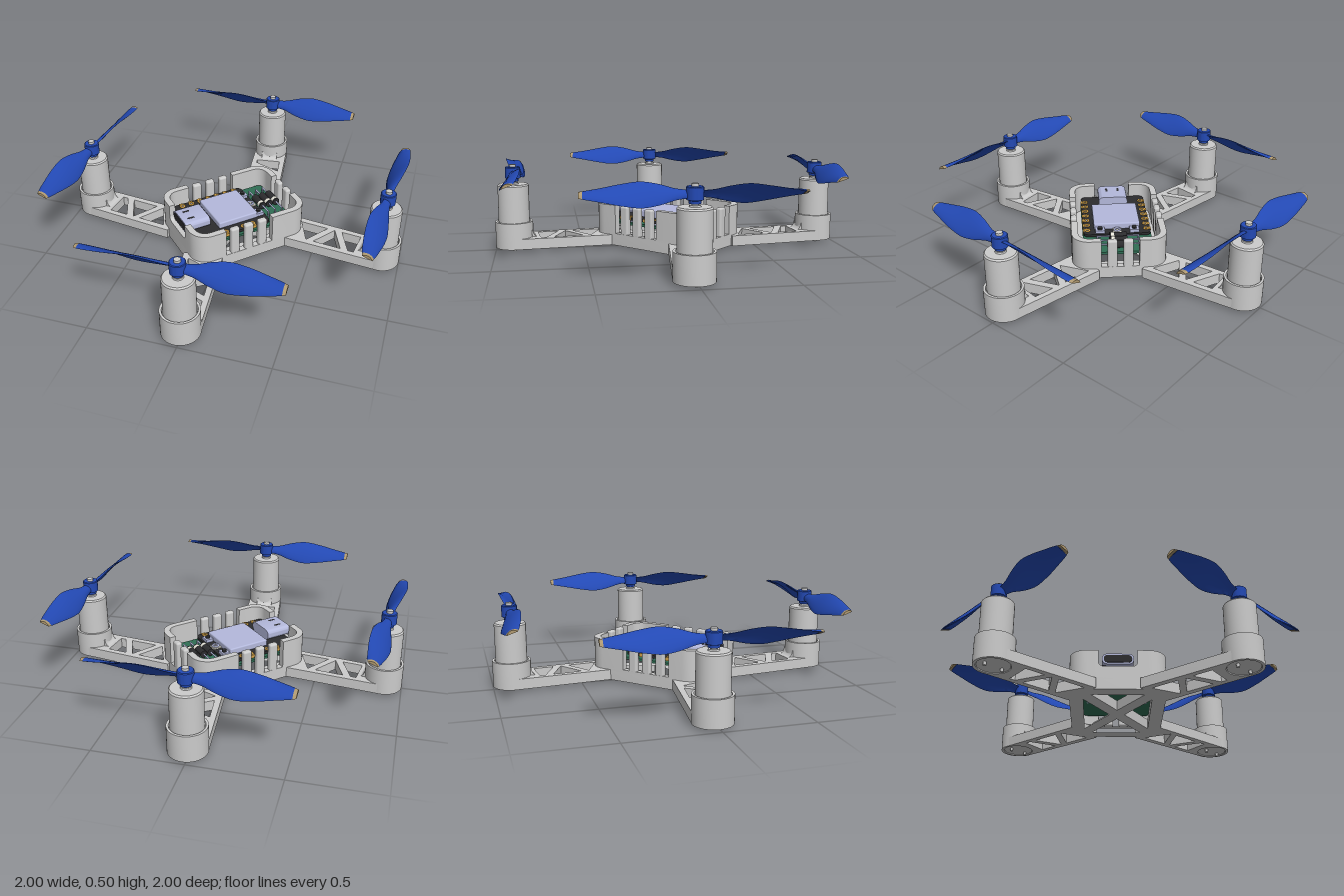
import * as THREE from 'three';
import { toCreasedNormals } from 'three/addons/utils/BufferGeometryUtils.js';
import { RoundedBoxGeometry } from 'three/addons/geometries/RoundedBoxGeometry.js';

const mat = (color) => new THREE.MeshStandardMaterial({ color });
const GREY = mat(0xcccccc), BLUE = mat(0x2349b4), TAN = mat(0xb09a72), GREEN = mat(0x2f6e54);
const BLACK = mat(0x2c2c2e), GOLD = mat(0xd8a648), METAL = mat(0xb4b9dc), WHITE = mat(0xe8e6da);
const V2 = (x, y) => new THREE.Vector2(x, y);

function add(parent, name, geo, material = GREY, x = 0, y = 0, z = 0) {
  const m = new THREE.Mesh(geo, material);
  m.name = name;
  m.position.set(x, y, z);
  parent.add(m);
  return m;
}
const box = (p, name, material, w, h, d, x, y, z) =>
  add(p, name, new THREE.BoxGeometry(w, h, d), material, x, y, z);
const cyl = (p, name, material, r, h, x, y, z) =>
  add(p, name, new THREE.CylinderGeometry(r, r, h, 20), material, x, y, z);
const lathe = (pts) =>
  toCreasedNormals(new THREE.LatheGeometry(pts.map(([x, y]) => V2(x, y)), 48), 0.5);

// Horizontal slab: shape x, y becomes model x, z between two heights
function slab(shape, y0, y1) {
  const g = new THREE.ExtrudeGeometry(shape, { depth: y1 - y0, bevelEnabled: false, curveSegments: 20 });
  g.rotateX(Math.PI / 2).translate(0, y1, 0);
  return toCreasedNormals(g, 0.5);
}
// Upright shape extruded along x: shape x becomes -z
function alongX(shape, x0, x1) {
  const g = new THREE.ExtrudeGeometry(shape, { depth: x1 - x0, bevelEnabled: false });
  g.rotateY(Math.PI / 2).translate(x0, 0, 0);
  return toCreasedNormals(g, 0.5);
}

// Quarter corner of a rounded rectangle, from the +y side round to the +x side
function cornerArc(a, b, r) {
  return Array.from({ length: 9 }, (_, i) => {
    const t = Math.PI / 2 * (1 - i / 8);
    return V2(a - r + r * Math.cos(t), b - r + r * Math.sin(t));
  });
}
function roundedRect(a, b, r) {
  const q = cornerArc(a, b, r), back = [...q].reverse();
  return [...q, ...back.map((p) => V2(p.x, -p.y)), ...q.map((p) => V2(-p.x, -p.y)), ...back.map((p) => V2(-p.x, p.y))];
}

const A = 0.362, B = 0.268, R = 0.1, T = 0.037; // case half sizes, corner radius, wall

function makeCase() {
  const g = new THREE.Group();
  g.name = 'electronicsCase';

  // Floor with an X brace
  const floor = new THREE.Shape(roundedRect(A, B, R));
  const hu = 0.285, hv = 0.19, k = hv / hu, eu = 0.066, ev = eu * k;
  for (const s of [1, -1]) {
    floor.holes.push(new THREE.Path([V2(s * eu, 0), V2(s * hu, (hu - eu) * k), V2(s * hu, -(hu - eu) * k)]));
    floor.holes.push(new THREE.Path([V2(0, s * ev), V2((hv - ev) / k, s * hv), V2(-(hv - ev) / k, s * hv)]));
  }
  add(g, 'caseFloor', slab(floor, 0.015, 0.075));

  // Continuous lower wall, then corners and posts with slots between them
  const ring = new THREE.Shape(roundedRect(A, B, R));
  ring.holes.push(new THREE.Path(roundedRect(A - T, B - T, R - T)));
  add(g, 'lowerWall', slab(ring, 0.07, 0.085));
  for (const su of [1, -1]) for (const sv of [1, -1]) {
    const u = su > 0 ? 0.119 : 0.179, v = 0.107;
    const pts = [V2(u, B), ...cornerArc(A, B, R), V2(A, v), V2(A - T, v),
      ...cornerArc(A - T, B - T, R - T).reverse(), V2(u, B - T)];
    add(g, 'cornerWall', slab(new THREE.Shape(pts.map((p) => V2(p.x * su, p.y * sv))), 0.08, 0.25));
  }
  for (const s of [1, -1]) {
    for (const u of [-0.118, -0.03, 0.058])
      add(g, 'sidePost', new RoundedBoxGeometry(0.054, 0.175, T, 3, 0.012), GREY, u, 0.1625, s * (B - T / 2));
    add(g, 'endPost', new RoundedBoxGeometry(T, 0.175, 0.056, 3, 0.012), GREY, A - T / 2, 0.1625, s * 0.045);
  }

  // Sill under the port with rounded lower corners
  const sill = new THREE.Shape();
  sill.moveTo(-0.108, 0.08);
  sill.lineTo(0.108, 0.08);
  sill.lineTo(0.108, 0.185);
  sill.quadraticCurveTo(0.106, 0.152, 0.075, 0.152);
  sill.lineTo(-0.075, 0.152);
  sill.quadraticCurveTo(-0.106, 0.152, -0.108, 0.185);
  add(g, 'portSill', alongX(sill, -A, -A + T));
  return g;
}

function makeElectronics() {
  const g = new THREE.Group();
  g.name = 'electronics';
  add(g, 'mainBoard', slab(new THREE.Shape(roundedRect(0.302, 0.2, 0.03)), 0.13, 0.145), GREEN);
  add(g, 'controllerBoard', slab(new THREE.Shape(roundedRect(0.235, 0.195, 0.03)), 0.158, 0.174), BLACK).position.x = -0.085;
  add(g, 'shieldCan', new RoundedBoxGeometry(0.25, 0.04, 0.27, 2, 0.008), METAL, -0.03, 0.193, 0);

  // Port shell with a dark mouth and spring slots
  add(g, 'portShell', alongX(new THREE.Shape(roundedRect(0.0875, 0.031, 0.027)), -0.345, -0.19), METAL, 0, 0.205, 0);
  add(g, 'portMouth', alongX(new THREE.Shape(roundedRect(0.078, 0.022, 0.02)), -0.347, -0.344), BLACK, 0, 0.205, 0);
  for (const s of [1, -1]) box(g, 'portSlot', BLACK, 0.04, 0.002, 0.012, -0.29, 0.236, s * 0.035);

  // Edge pads with pins down to the main board
  for (const s of [1, -1]) for (let i = 0; i < 7; i++) {
    const u = -0.25 + i * 0.058;
    const pad = add(g, 'edgePad', new THREE.TorusGeometry(0.012, 0.006, 8, 16), GOLD, u, 0.174, s * 0.172);
    pad.rotation.x = Math.PI / 2;
    box(g, 'padEdge', GOLD, 0.024, 0.02, 0.02, u, 0.166, s * 0.188);
    cyl(g, 'padPin', METAL, 0.007, 0.045, u, 0.152, s * 0.172);
  }

  // Buttons and aerial socket
  for (const s of [1, -1]) {
    box(g, 'buttonBase', METAL, 0.045, 0.018, 0.055, 0.118, 0.183, s * 0.1);
    cyl(g, 'button', BLACK, 0.014, 0.012, 0.118, 0.196, s * 0.1);
  }
  box(g, 'aerialBase', WHITE, 0.05, 0.008, 0.05, 0.12, 0.178, 0);
  const socket = add(g, 'aerialSocket', new THREE.TorusGeometry(0.017, 0.006, 8, 20), METAL, 0.12, 0.186, 0);
  socket.rotation.x = Math.PI / 2;

  // Row of diodes lying across the main board
  for (let i = 0; i < 3; i++) {
    const u = 0.178 + i * 0.046;
    cyl(g, 'diode', BLACK, 0.022, 0.1, u, 0.177, 0).rotation.x = Math.PI / 2;
    cyl(g, 'diodeBand', WHITE, 0.0225, 0.018, u, 0.177, 0.032).rotation.x = Math.PI / 2;
    cyl(g, 'diodeLead', METAL, 0.005, 0.24, u, 0.177, 0).rotation.x = Math.PI / 2;
    for (const s of [1, -1]) cyl(g, 'diodeLeg', METAL, 0.005, 0.04, u, 0.16, s * 0.118);
  }
  return g;
}

// Truss arm running along +x from the motor centre, with its motor cup
function makeArm(flip) {
  const g = new THREE.Group();
  g.name = 'arm';
  const L = 0.56, shape = new THREE.Shape();
  shape.moveTo(0, -0.106);
  shape.lineTo(L, -0.114);
  shape.lineTo(L, 0.114);
  shape.lineTo(0, 0.106);
  shape.absarc(0, 0, 0.106, Math.PI / 2, Math.PI * 1.5, false);
  shape.holes.push(new THREE.Path().absarc(0, 0, 0.092, 0, Math.PI * 2, true));

  // Zigzag openings, squared off next to the cup
  const h = 0.076, half = 0.083;
  [0.175, 0.303, 0.43].forEach((c, i) => {
    const s = flip * (i % 2 ? -1 : 1), start = 0.142;
    const inner = i ? [V2(c - half, s * h)] : [V2(start, -s * h), V2(start, s * h)];
    shape.holes.push(new THREE.Path([...inner, V2(c + half, s * h), V2(c, -s * h)]));
  });
  add(g, 'trussArm', slab(shape, 0.015, 0.075));

  // Curved gusset joining the arm to the cup
  const gusset = new THREE.Shape();
  gusset.moveTo(0.095, 0.07);
  gusset.lineTo(0.14, 0.07);
  gusset.quadraticCurveTo(0.102, 0.075, 0.1, 0.115);
  gusset.lineTo(0.095, 0.115);
  const gg = new THREE.ExtrudeGeometry(gusset, { depth: 0.1, bevelEnabled: false });
  add(g, 'cupGusset', toCreasedNormals(gg, 0.6), GREY, 0, 0, -0.05);

  add(g, 'motorCup', lathe([[0.091, 0.015], [0.107, 0.015], [0.107, 0.165], [0.094, 0.165], [0.091, 0.155], [0.091, 0.015]]));
  return g;
}

// Twisted blade: airfoil loops from t0 to t1 along the span, capped at both ends
const BLADE = new THREE.CatmullRomCurve3([ // radius, chord, pitch
  [0.03, 0.05, 0.75], [0.09, 0.068, 0.8], [0.17, 0.12, 0.84], [0.25, 0.152, 0.82],
  [0.35, 0.138, 0.7], [0.45, 0.102, 0.55], [0.52, 0.074, 0.42], [0.55, 0.055, 0.36],
].map((p) => new THREE.Vector3(...p)));
function bladeGeometry(t0, t1, steps, sense) {
  const N = 16, pos = [], idx = [];
  for (let i = 0; i <= steps; i++) {
    const { x: r, y: chord, z: pitch } = BLADE.getPoint(t0 + (t1 - t0) * i / steps);
    for (let j = 0; j < N; j++) {
      const a = j / N * Math.PI * 2, c = Math.cos(a) * chord / 2;
      const t = Math.sin(a) * 0.006 + 0.01 * (1 - Math.cos(a) ** 2);
      pos.push(r, t * Math.cos(pitch) - c * Math.sin(pitch), sense * (c * Math.cos(pitch) + t * Math.sin(pitch)));
    }
  }
  const tri = (a, b, c) => (sense < 0 ? idx.push(a, b, c) : idx.push(a, c, b));
  for (let i = 0; i < steps; i++) for (let j = 0; j < N; j++) {
    const a = i * N + j, b = i * N + (j + 1) % N;
    tri(a, b, a + N);
    tri(b, b + N, a + N);
  }
  for (let j = 1; j < N - 1; j++) {
    tri(0, j + 1, j);
    tri(steps * N, steps * N + j, steps * N + j + 1);
  }
  const g = new THREE.BufferGeometry();
  g.setAttribute('position', new THREE.Float32BufferAttribute(pos, 3));
  g.setIndex(idx);
  return toCreasedNormals(g, 0.9);
}

function makePropeller(sense) {
  const g = new THREE.Group();
  g.name = 'propeller';
  add(g, 'hub', lathe([[0.012, -0.045], [0.03, -0.045], [0.032, -0.03], [0.043, -0.026], [0.043, 0.034], [0.039, 0.038], [0.012, 0.038]]), BLUE);
  for (const turn of [0, Math.PI]) {
    add(g, 'blade', bladeGeometry(0, 0.91, 30, sense), BLUE).rotation.y = turn;
    add(g, 'bladeTip', bladeGeometry(0.91, 1, 4, sense), TAN).rotation.y = turn;
  }
  return g;
}

function makeMotor() {
  const g = new THREE.Group();
  g.name = 'motor';
  add(g, 'motorCan', lathe([[0, 0.019], [0.088, 0.019], [0.088, 0.372], [0.081, 0.38], [0.03, 0.38], [0.028, 0.388], [0, 0.388]]));
  cyl(g, 'shaft', GREY, 0.018, 0.11, 0, 0.437, 0);
  for (const s of [1, -1]) cyl(g, 'terminalPin', GREY, 0.009, 0.022, s * 0.055, 0.011, 0);
  return g;
}

export function createModel() {
  const model = new THREE.Group();
  model.name = 'quadcopter';
  const yaw = 0.77, reach = 0.632, frame = new THREE.Group();
  frame.name = 'frame';
  frame.rotation.y = yaw;
  model.add(frame);
  frame.add(makeCase(), makeElectronics());

  // One arm, motor and propeller per corner: signs, propeller angle
  const corners = [[1, 1, -Math.PI / 2 - 0.065], [-1, -1, -Math.PI / 2 - 0.085], [1, -1, -0.06], [-1, 1, -0.02]];
  for (const [su, sv, angle] of corners) {
    const p = new THREE.Vector3(su * reach, 0, sv * reach);
    const arm = makeArm(su * sv);
    arm.position.copy(p);
    arm.rotation.y = Math.atan2(sv * 0.469, -su * 0.364);
    frame.add(arm);

    p.applyAxisAngle(new THREE.Vector3(0, 1, 0), yaw);
    const motor = makeMotor(), propeller = makePropeller(su * sv > 0 ? -1 : 1);
    motor.position.copy(p);
    propeller.position.set(p.x, 0.44, p.z);
    propeller.rotation.y = angle;
    model.add(motor, propeller);
  }
  return model;
}
